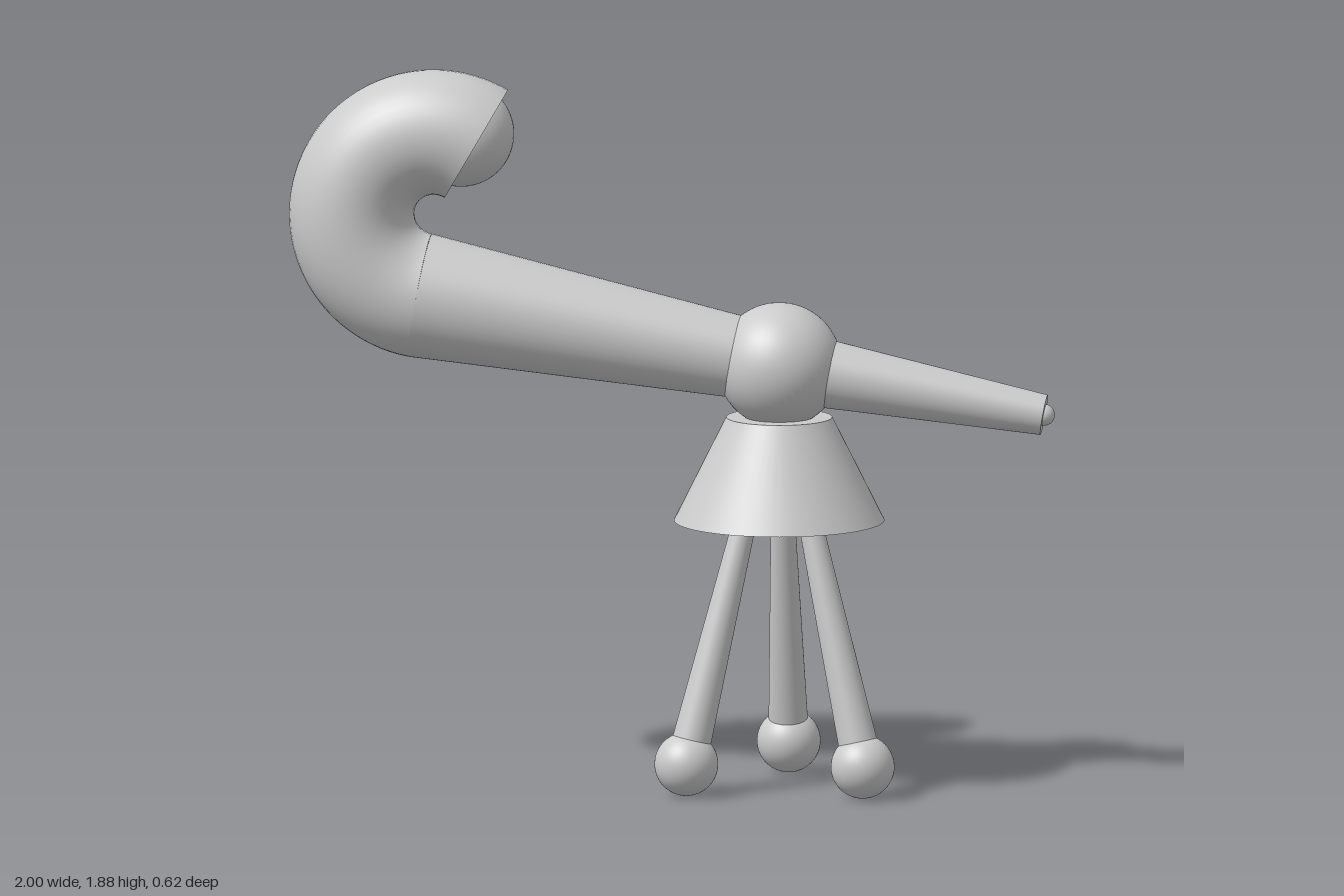
import * as THREE from 'three';

export function createModel() {
  const model = new THREE.Group();
  const material = new THREE.MeshStandardMaterial({ color: 0xcccccc, side: THREE.DoubleSide });
  const Z = 0.036; // middle plane of the body
  const vec = (x, y, z = Z) => new THREE.Vector3(x, y, z);

  function add(name, geometry, position) {
    const mesh = new THREE.Mesh(geometry, material);
    mesh.name = name;
    mesh.position.copy(position);
    model.add(mesh);
    return mesh;
  }
  const ball = (name, center, r) => add(name, new THREE.SphereGeometry(r, 48, 32), center);

  // Tapered rod running from a to b
  function rod(name, a, b, ra, rb) {
    const dir = b.clone().sub(a);
    const geometry = new THREE.CylinderGeometry(rb, ra, dir.length(), 48);
    const mesh = add(name, geometry, a.clone().add(b).multiplyScalar(0.5));
    mesh.quaternion.setFromUnitVectors(new THREE.Vector3(0, 1, 0), dir.normalize());
  }

  // Central joint and flared skirt
  const hub = vec(0.28, 1.117);
  ball('hub', hub, 0.163);
  add('skirt', new THREE.CylinderGeometry(0.138, 0.274, 0.272, 64), vec(0.28, 0.844));

  // Three splayed legs with ball feet
  for (let i = 0; i < 3; i++) {
    const angle = -Math.PI / 2 + (i * 2 * Math.PI) / 3;
    const spoke = (r, y) => vec(0.28 + r * Math.cos(angle), y, Z + r * Math.sin(angle));
    rod('leg', spoke(0.03, 0.97), spoke(0.266, 0.085), 0.022, 0.053);
    ball('foot', spoke(0.266, 0.083), 0.083);
  }

  // Slim arm with a small ball at its tip
  const tip = vec(0.972, 0.996);
  rod('slimArm', hub, tip, 0.097, 0.053);
  ball('tipBall', tip, 0.028);

  // Thick arm widening towards the hook
  const hookCenter = vec(-0.62, 1.5);
  const R = 0.217, r = 0.163;
  const start = Math.PI / 3, end = THREE.MathUtils.degToRad(260);
  const onHook = (a) => vec(hookCenter.x + R * Math.cos(a), hookCenter.y + R * Math.sin(a));
  rod('thickArm', hub, onHook(end), 0.1, r);

  // Curled hook, closed at its mouth
  add('hook', new THREE.TorusGeometry(R, r, 40, 80, end - start).rotateZ(start), hookCenter);
  const mouth = add('hookMouth', new THREE.CircleGeometry(r, 48), onHook(start));
  mouth.quaternion.setFromUnitVectors(vec(0, 0, 1), vec(Math.sin(start), -Math.cos(start), 0));

  // Ball set into the hook's mouth
  ball('mouthBall', vec(-0.551, 1.714), 0.138);

  return model;
}
